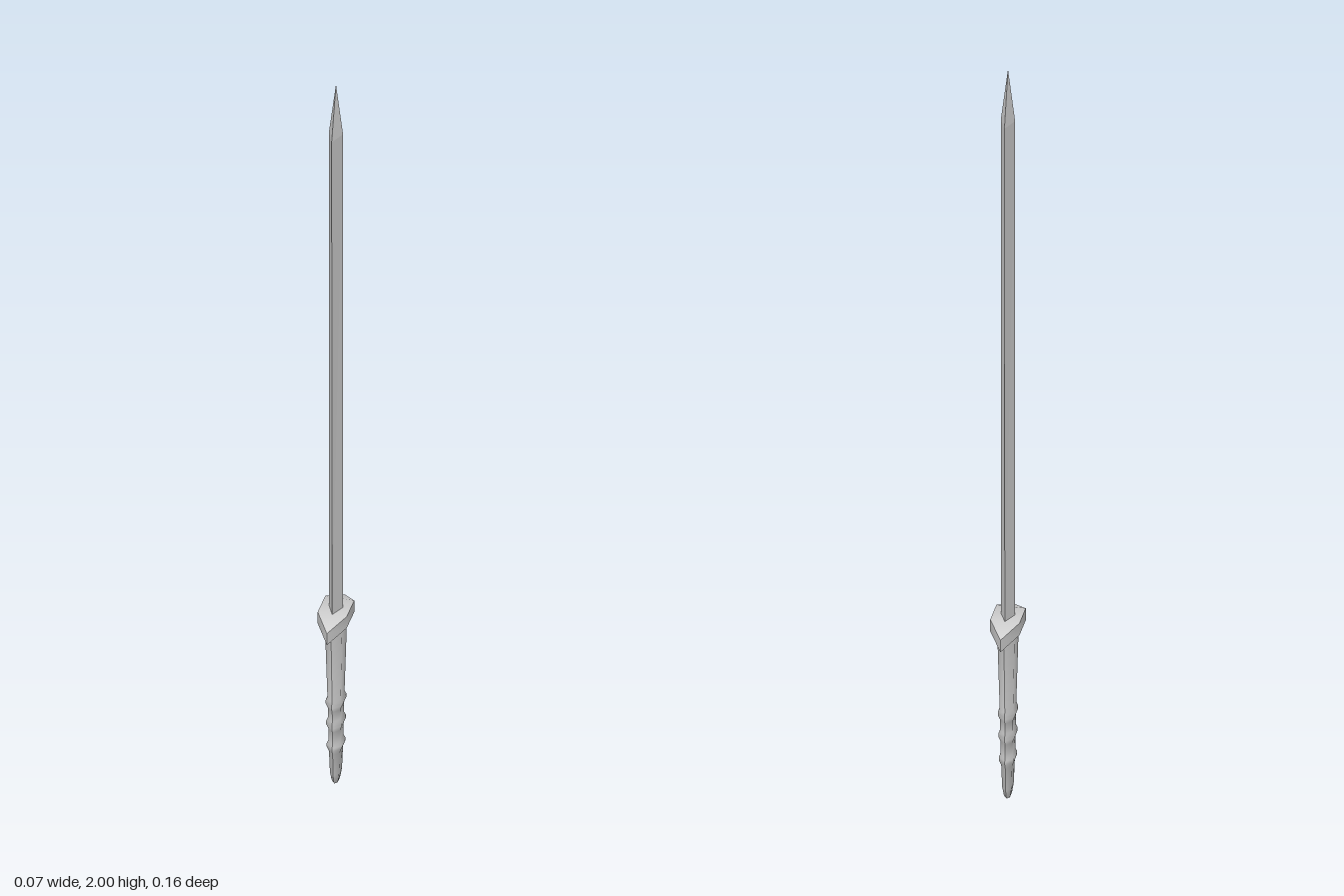
import * as THREE from 'three';
import { toCreasedNormals } from 'three/addons/utils/BufferGeometryUtils.js';

// Skin a row of equally sized rings; rings of zero size close the ends.
function loft(rings, crease) {
  const n = rings[0].length, index = [];
  for (let i = 0; i < rings.length - 1; i++) {
    for (let j = 0; j < n; j++) {
      const a = i * n + j, b = i * n + (j + 1) % n;
      index.push(a, a + n, b, b, a + n, b + n);
    }
  }
  const geo = new THREE.BufferGeometry();
  geo.setAttribute('position', new THREE.Float32BufferAttribute(rings.flat(2), 3));
  geo.setIndex(index);
  return toCreasedNormals(geo, crease);
}

// Upright loft: each level is [y, half width in x, half depth in z].
function upright(levels, section, crease) {
  return loft(levels.map(([y, hx, hz]) => section.map(([x, z]) => [x * hx, y, z * hz])), crease);
}

export function createModel() {
  const group = new THREE.Group();
  const add = (name, geometry, flatShading = false) => {
    const mesh = new THREE.Mesh(geometry, new THREE.MeshStandardMaterial({ color: 0xcccccc, flatShading }));
    mesh.name = name;
    group.add(mesh);
  };

  const diamond = [[1, 0], [0, 1], [-1, 0], [0, -1]];
  const hexagon = [[1, -0.5], [1, 0.5], [0, 1], [-1, 0.5], [-1, -0.5], [0, -1]];

  // Blade: diamond section, widening slightly towards the point
  add('blade', upright([
    [0.48, 0, 0], [0.48, 0.017, 0.034], [1.86, 0.017, 0.038], [2, 0, 0],
  ], diamond, 0.1), true);

  // Guard: pointed at both ends, the ends drooping
  const guard = [[-0.08, 0, -0.023], [-0.033, 0.035, 0], [0.033, 0.035, 0], [0.08, 0, -0.023]];
  add('guard', loft(guard.map(([z, hx, drop]) => {
    const top = 0.5 + drop, bottom = 0.467 + drop;
    return [[hx, top, z], [hx, bottom, z], [-hx, bottom, z], [-hx, top, z]];
  }), 0.9));

  // Grip: tapering, with three raised bands
  const levels = [[0, 0, 0], [0, 0.006, 0.014], [0.008, 0.008, 0.02], [0.03, 0.011, 0.026]];
  for (const [y, hx, hz] of [[0.11, 0.014, 0.03], [0.175, 0.015, 0.032], [0.235, 0.016, 0.034]]) {
    levels.push([y - 0.018, hx - 0.001, hz - 0.001], [y - 0.004, hx + 0.004, hz + 0.005],
      [y + 0.004, hx + 0.004, hz + 0.005], [y + 0.014, hx, hz]);
  }
  levels.push([0.47, 0.021, 0.045], [0.47, 0, 0]);
  add('grip', upright(levels, hexagon, 0.9));

  return group;
}
